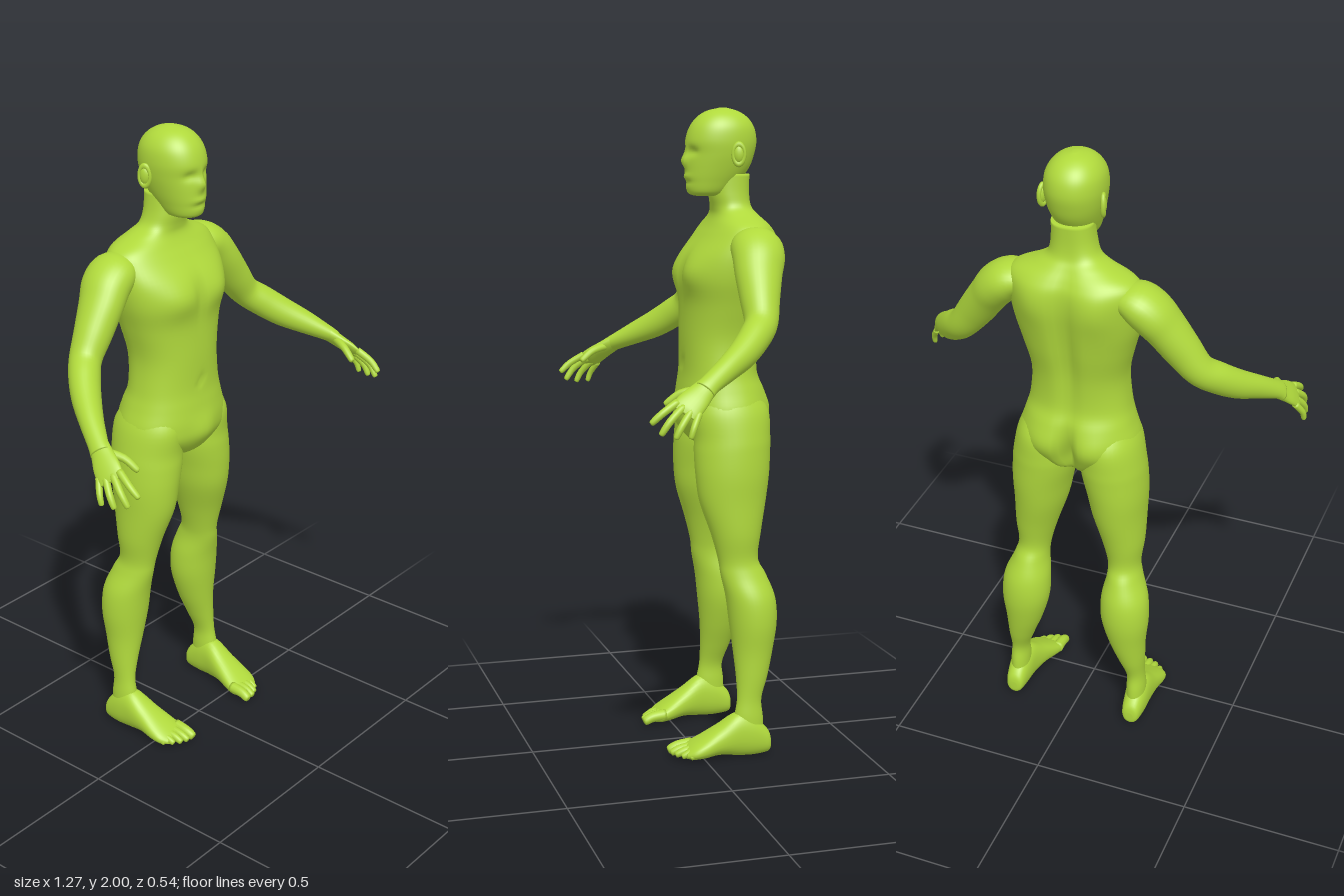
import * as THREE from 'three';

const skin = new THREE.MeshStandardMaterial({ color: 0xb0d93c });
skin.name = 'lime skin';

// Smoothly resample rows of numbers (Catmull-Rom on every column)
function resample(rows, steps) {
  const out = [], last = rows.length - 1;
  const at = i => rows[Math.min(Math.max(i, 0), last)];
  for (let i = 0; i < last; i++) {
    for (let s = 0; s < steps; s++) {
      const t = s / steps, a = at(i - 1), b = at(i), c = at(i + 1), d = at(i + 2);
      out.push(b.map((_, k) => 0.5 * (2 * b[k] + (c[k] - a[k]) * t
        + (2 * a[k] - 5 * b[k] + 4 * c[k] - d[k]) * t * t
        + (3 * b[k] - a[k] - 3 * c[k] + d[k]) * t * t * t)));
    }
  }
  out.push(rows[last]);
  return out;
}

// Reverse the corner order of every triangle
function flip(geo) {
  const ix = geo.index.array;
  for (let i = 0; i < ix.length; i += 3) [ix[i], ix[i + 1]] = [ix[i + 1], ix[i]];
  return geo;
}

// Close a list of rings into a solid, with an optional sculpting rule
function solid(rings, sculpt) {
  const n = rings[0].length, pts = rings.flat(), idx = [];
  for (let r = 0; r < rings.length - 1; r++) {
    for (let i = 0; i < n; i++) {
      const a = r * n + i, b = r * n + (i + 1) % n;
      idx.push(a, a + n, b, b, a + n, b + n);
    }
  }
  for (const r of [0, rings.length - 1]) {
    const mid = new THREE.Vector3();
    rings[r].forEach(p => mid.addScaledVector(p, 1 / n));
    const c = pts.push(mid) - 1;
    for (let i = 0; i < n; i++) {
      const a = r * n + i, b = r * n + (i + 1) % n;
      if (r === 0) idx.push(c, a, b); else idx.push(c, b, a);
    }
  }
  if (sculpt) pts.forEach(sculpt);
  const geo = new THREE.BufferGeometry().setFromPoints(pts);
  geo.setIndex(idx);
  // Turn inside-out solids the right way round
  let volume = 0;
  const v = new THREE.Vector3();
  for (let i = 0; i < idx.length; i += 3) {
    volume += pts[idx[i]].dot(v.crossVectors(pts[idx[i + 1]], pts[idx[i + 2]]));
  }
  if (volume < 0) flip(geo);
  geo.computeVertexNormals();
  return geo;
}

const curve = (c, e) => Math.sign(c) * Math.abs(c) ** e;

// Stack of flat sections: [height, centre, half width, front, back]
function slices(rows, place, { sides = 40, steps = 5, e = 1, sculpt } = {}) {
  return solid(resample(rows, steps).map(([s, c, w, hi, lo]) =>
    Array.from({ length: sides }, (_, i) => {
      const t = i / sides * Math.PI * 2;
      return place(c + w * curve(Math.cos(t), e), s, (hi + lo) / 2 + (hi - lo) / 2 * curve(Math.sin(t), e));
    })), sculpt);
}
const upright = (u, s, v) => new THREE.Vector3(u, s, v);
const forward = (u, s, v) => new THREE.Vector3(u, v, s);

// Sections square to a path: [x, y, z, thickness, width along ref]
function limb(rows, ref = new THREE.Vector3(0, 0, 1), sides = 24, steps = 5) {
  const rs = resample(rows, steps), P = r => new THREE.Vector3(r[0], r[1], r[2]);
  return solid(rs.map((r, k) => {
    const T = P(rs[Math.min(k + 1, rs.length - 1)]).sub(P(rs[Math.max(k - 1, 0)])).normalize();
    const u = T.clone().cross(ref).normalize(), v = u.clone().cross(T);
    return Array.from({ length: sides }, (_, i) => {
      const t = i / sides * Math.PI * 2;
      return P(r).addScaledVector(u, r[3] * Math.cos(t)).addScaledVector(v, r[4] * Math.sin(t));
    });
  }));
}

// Soft bumps and hollows along z: [x, y, z, rx, ry, rz, push]; x is mirrored
function bumps(list, cx = 0) {
  return p => {
    let push = 0;
    for (const [x, y, z, rx, ry, rz, d] of list) {
      const dx = (Math.abs(p.x - cx) - x) / rx, dy = (p.y - y) / ry, dz = (p.z - z) / rz;
      push += d * Math.exp(-dx * dx - dy * dy - dz * dz);
    }
    p.z += push;
  };
}

// Finger or toe through three points with a rounded tip
function digit(a, b, c, r, ref) {
  const mix = c.map((v, i) => v + (b[i] - v) * 0.12);
  return limb([[...a, r * 1.1, r * 1.1], [...b, r, r], [...mix, r * 0.8, r * 0.8], [...c, r * 0.2, r * 0.2]], ref, 12, 4);
}

export function createModel() {
  const body = new THREE.Group();
  body.name = 'figure';
  const add = (name, geo) => {
    const mesh = new THREE.Mesh(geo, skin);
    mesh.name = name;
    body.add(mesh);
  };
  const pair = (name, geo) => {
    add('left ' + name, geo);
    add('right ' + name, flip(geo.clone().scale(-1, 1, 1)));
  };

  // Torso and neck
  add('torso', slices([
    [0.955, 0, 0.04, -0.06, -0.16], [0.98, 0, 0.1, -0.015, -0.21], [1.03, 0, 0.185, 0.015, -0.235],
    [1.08, 0, 0.19, 0.022, -0.245], [1.14, 0, 0.172, 0.017, -0.238], [1.2, 0, 0.157, 0.01, -0.22],
    [1.3, 0, 0.15, 0.01, -0.225], [1.4, 0, 0.172, 0.008, -0.245], [1.48, 0, 0.195, 0.012, -0.258],
    [1.55, 0, 0.205, -0.003, -0.265], [1.61, 0, 0.205, -0.045, -0.262], [1.645, 0, 0.185, -0.07, -0.247],
    [1.675, 0, 0.12, -0.085, -0.225], [1.7, 0.003, 0.08, -0.085, -0.207], [1.74, 0.007, 0.067, -0.078, -0.2],
    [1.8, 0.01, 0.062, -0.08, -0.2],
  ], upright, {
    sides: 64, e: 0.88, sculpt: bumps([
      [0.085, 1.5, 0, 0.07, 0.05, 0.08, 0.016],     // chest
      [0, 1.5, 0.02, 0.02, 0.07, 0.06, -0.008],     // breastbone
      [0, 1.22, 0.01, 0.012, 0.014, 0.04, -0.008],  // navel
      [0, 1.05, 0.02, 0.05, 0.05, 0.06, 0.014],     // groin
      [0, 1.4, -0.25, 0.03, 0.25, 0.06, 0.025],     // spine
      [0.1, 1.57, -0.26, 0.06, 0.08, 0.06, -0.014], // shoulder blades
      [0, 1.04, -0.24, 0.02, 0.08, 0.08, 0.045],    // cleft
      [0.085, 1.07, -0.24, 0.06, 0.06, 0.06, -0.015], // buttocks
    ]),
  }));

  // Head with a sculpted face
  add('head', slices([
    [1.733, 0.01, 0.025, -0.035, -0.1], [1.743, 0.01, 0.05, -0.008, -0.13], [1.78, 0.01, 0.065, 0, -0.17],
    [1.82, 0.01, 0.077, 0, -0.2], [1.86, 0.01, 0.086, -0.003, -0.215], [1.9, 0.01, 0.09, -0.001, -0.222],
    [1.94, 0.01, 0.085, -0.013, -0.215], [1.97, 0.01, 0.068, -0.035, -0.195],
    [1.99, 0.01, 0.042, -0.065, -0.165], [2.0, 0.01, 0.008, -0.105, -0.13],
  ], upright, {
    sides: 56, steps: 7, e: 0.95, sculpt: bumps([
      [0, 1.84, 0, 0.014, 0.02, 0.05, 0.016],      // nose
      [0, 1.865, 0, 0.01, 0.02, 0.05, 0.006],      // bridge
      [0.034, 1.868, 0, 0.02, 0.014, 0.05, -0.01], // eye sockets
      [0, 1.793, 0, 0.025, 0.008, 0.04, 0.005],    // lips
      [0, 1.775, 0, 0.03, 0.008, 0.04, -0.005],    // under the lip
    ], 0.01),
  }));

  // Ears
  for (const [side, s] of [['left', 1], ['right', -1]]) {
    const ear = new THREE.Group();
    ear.name = side + ' ear';
    const rim = new THREE.Mesh(new THREE.TorusGeometry(0.022, 0.007, 10, 24), skin);
    const bowl = new THREE.Mesh(new THREE.SphereGeometry(0.02, 16, 12), skin);
    rim.name = 'ear rim';
    bowl.name = 'ear bowl';
    rim.scale.set(0.8, 1.35, 1);
    bowl.scale.set(0.8, 1.3, 0.5);
    ear.add(rim, bowl);
    ear.position.set(0.01 + s * 0.092, 1.86, -0.14);
    ear.rotation.y = s * (Math.PI / 2 - 0.3);
    body.add(ear);
  }

  // Arms
  pair('arm', limb([
    [0.13, 1.6, -0.165, 0.03, 0.05], [0.19, 1.59, -0.165, 0.057, 0.077], [0.235, 1.56, -0.16, 0.064, 0.08],
    [0.275, 1.51, -0.147, 0.06, 0.072], [0.325, 1.44, -0.135, 0.056, 0.06], [0.375, 1.375, -0.122, 0.048, 0.05],
    [0.42, 1.335, -0.085, 0.049, 0.047], [0.465, 1.295, -0.035, 0.046, 0.043], [0.51, 1.26, 0.025, 0.037, 0.036],
    [0.55, 1.226, 0.085, 0.025, 0.031], [0.565, 1.21, 0.108, 0.02, 0.032],
  ], undefined, 32));

  // Hands
  const spread = new THREE.Vector3(0.03, -0.03, -0.07);
  pair('palm', limb([
    [0.55, 1.226, 0.085, 0.022, 0.03], [0.565, 1.205, 0.115, 0.019, 0.035], [0.58, 1.185, 0.142, 0.016, 0.041],
    [0.592, 1.165, 0.167, 0.012, 0.042], [0.6, 1.154, 0.18, 0.004, 0.034],
  ], spread));
  pair('thumb', digit([0.555, 1.212, 0.115], [0.533, 1.2, 0.168], [0.52, 1.168, 0.212], 0.012, spread));
  pair('index finger', digit([0.577, 1.182, 0.19], [0.587, 1.155, 0.235], [0.585, 1.125, 0.27], 0.011, spread));
  pair('middle finger', digit([0.587, 1.17, 0.175], [0.605, 1.135, 0.218], [0.605, 1.095, 0.247], 0.011, spread));
  pair('ring finger', digit([0.597, 1.16, 0.155], [0.617, 1.122, 0.188], [0.62, 1.085, 0.208], 0.0105, spread));
  pair('little finger', digit([0.603, 1.152, 0.135], [0.623, 1.117, 0.155], [0.627, 1.085, 0.166], 0.0095, spread));

  // Legs
  pair('leg', slices([
    [1.15, 0.1, 0.06, -0.03, -0.19], [1.08, 0.105, 0.088, 0.003, -0.235], [1.0, 0.11, 0.1, 0, -0.24],
    [0.95, 0.115, 0.101, 0.002, -0.238], [0.88, 0.125, 0.094, 0, -0.232], [0.8, 0.132, 0.084, -0.01, -0.22],
    [0.7, 0.147, 0.067, -0.042, -0.2], [0.62, 0.153, 0.052, -0.063, -0.19], [0.57, 0.16, 0.056, -0.07, -0.213],
    [0.5, 0.168, 0.075, -0.085, -0.24], [0.42, 0.172, 0.077, -0.095, -0.245], [0.33, 0.18, 0.06, -0.105, -0.23],
    [0.25, 0.194, 0.043, -0.11, -0.21], [0.18, 0.205, 0.029, -0.11, -0.188], [0.12, 0.207, 0.031, -0.1, -0.193],
    [0.05, 0.207, 0.03, -0.1, -0.195],
  ], upright));

  // Feet, cut across from heel to ball
  pair('foot', slices([
    [-0.217, 0.208, 0.012, 0.05, 0.02], [-0.207, 0.208, 0.028, 0.08, 0.006], [-0.16, 0.208, 0.037, 0.125, 0],
    [-0.11, 0.206, 0.041, 0.14, 0.002], [-0.05, 0.2, 0.049, 0.102, 0.008], [0, 0.195, 0.057, 0.07, 0.002],
    [0.035, 0.19, 0.058, 0.048, 0.001], [0.06, 0.185, 0.045, 0.03, 0.006],
  ], forward, { sides: 32, e: 0.9 }));

  // Toes, from the big one outwards
  const up = new THREE.Vector3(0, 1, 0);
  [[0.147, 0.017, 0.098], [0.173, 0.013, 0.096], [0.195, 0.0125, 0.087], [0.216, 0.0115, 0.072], [0.235, 0.011, 0.05]]
    .forEach(([x, r, tip], i) => pair('toe ' + (i + 1),
      digit([x, 0.032, tip - 0.075], [x, 0.027, tip - 0.03], [x - 0.002, 0.014, tip], r, up)));

  return body;
}
